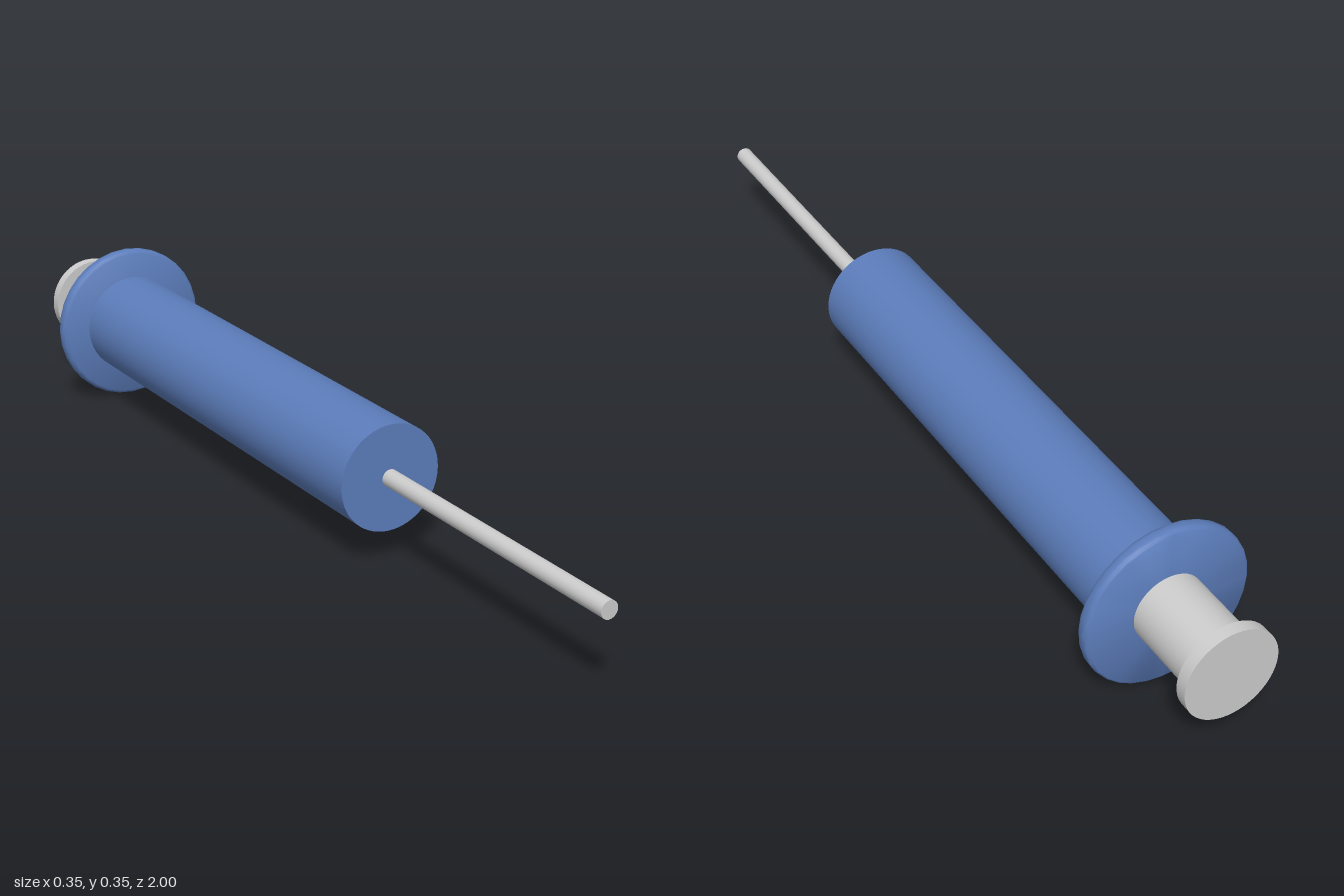
import * as THREE from 'three';
import { toCreasedNormals } from 'three/addons/utils/BufferGeometryUtils.js';

const AXIS_HEIGHT = 0.175;

export function createModel() {
  const model = new THREE.Group();
  model.name = 'syringe';

  const blue = new THREE.MeshStandardMaterial({ color: 0x5c7dbb });
  blue.name = 'blue plastic';
  const grey = new THREE.MeshStandardMaterial({ color: 0xcccccc });
  grey.name = 'light grey metal';

  // Lays a y-axis geometry along z, at the height of the shared axis
  const add = (name, geometry, material, z) => {
    geometry.rotateX(Math.PI / 2);
    const mesh = new THREE.Mesh(geometry, material);
    mesh.name = name;
    mesh.position.set(0, AXIS_HEIGHT, z);
    model.add(mesh);
  };

  // Round rod running from z0 (back) to z1 (front)
  const rod = (name, radius, z0, z1, material, sides = 48) =>
    add(name, new THREE.CylinderGeometry(radius, radius, z1 - z0, sides), material, (z0 + z1) / 2);

  rod('needle', 0.018, 0.33, 1, grey, 24);
  rod('barrel', 0.11, -0.775, 0.33, blue);
  rod('plungerRod', 0.073, -0.975, -0.8, grey);
  rod('plungerCap', 0.097, -1, -0.975, grey);

  // Finger flange with softly rounded rim
  const rim = [
    [0, 0], [0.168, 0], [0.172, 0.003], [0.1735, 0.009],
    [0.1735, 0.021], [0.171, 0.027], [0.165, 0.031], [0, 0.031],
  ].map(([r, y]) => new THREE.Vector2(r, y));
  add('fingerFlange', toCreasedNormals(new THREE.LatheGeometry(rim, 32), 0.7), blue, -0.805);

  return model;
}
